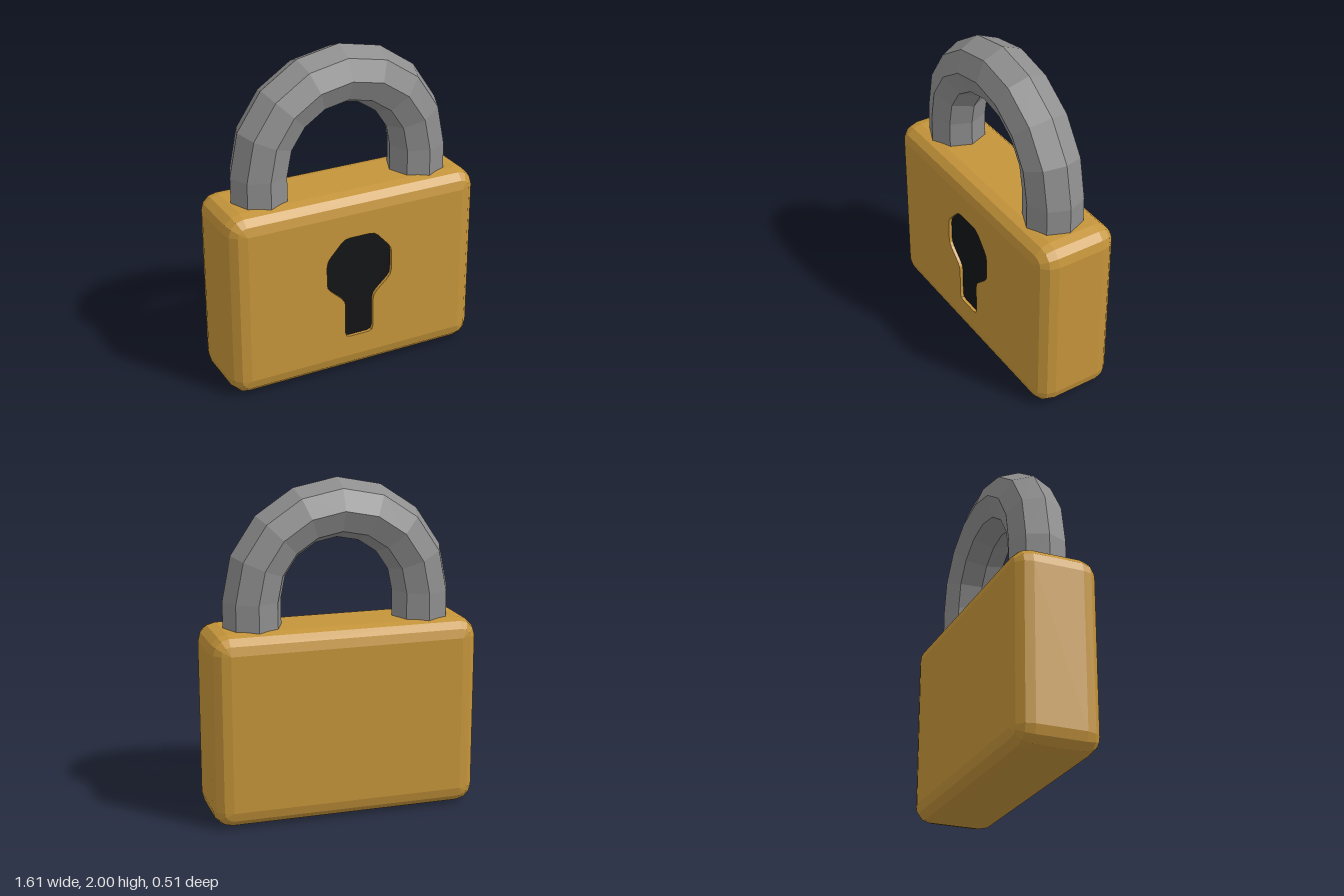
import * as THREE from 'three';

const V = (x, y, z) => new THREE.Vector3(x, y, z);

// Skin between successive closed rings of points (flat facets)
function loft(rings) {
  const pos = [];
  const put = (...pts) => pts.forEach(p => pos.push(p.x, p.y, p.z));
  for (let i = 0; i < rings.length - 1; i++) {
    const n = rings[i].length;
    for (let j = 0; j < n; j++) {
      const k = (j + 1) % n;
      const a = rings[i][j], b = rings[i][k], c = rings[i + 1][k], d = rings[i + 1][j];
      if (a.distanceTo(b) > 1e-6) put(a, b, c);
      if (c.distanceTo(d) > 1e-6) put(a, c, d);
    }
  }
  const g = new THREE.BufferGeometry();
  g.setAttribute('position', new THREE.Float32BufferAttribute(pos, 3));
  g.computeVertexNormals();
  return g;
}

// Replace every corner of a polygon by a small curve
function softenCorners(points, r) {
  const out = [];
  points.forEach((p, i) => {
    const prev = points[(i + points.length - 1) % points.length];
    const next = points[(i + 1) % points.length];
    const a = p.clone().add(prev.clone().sub(p).setLength(r));
    const b = p.clone().add(next.clone().sub(p).setLength(r));
    out.push(...new THREE.QuadraticBezierCurve(a, p, b).getPoints(2));
  });
  return out;
}

export function createModel() {
  const model = new THREE.Group();
  const material = color => new THREE.MeshStandardMaterial({ color, flatShading: true });
  const brass = material(0xc4943a), steel = material(0x8e8e8e), black = material(0x131417);
  const add = (name, geometry, mat, parent = model) => {
    const mesh = new THREE.Mesh(geometry, mat);
    mesh.name = name;
    parent.add(mesh);
    return mesh;
  };

  // Body: rounded block with three-step bevels
  const W = 0.807, H = 0.5775, D = 0.256, R = 0.107, STEPS = 3;
  const corners = [[1, 1], [-1, 1], [-1, -1], [1, -1]];
  const bodyRing = (r, z) => corners.flatMap(([sx, sy], q) =>
    Array.from({ length: STEPS + 1 }, (_, i) => {
      const a = (q + i / STEPS) * Math.PI / 2;
      return V(sx * (W - R) + r * Math.cos(a), H + sy * (H - R) + r * Math.sin(a), z);
    }));
  const rings = [];
  for (const side of [-1, 1]) {
    for (let i = 0; i <= STEPS; i++) {
      const a = (side < 0 ? i : STEPS - i) / STEPS * Math.PI / 2;
      rings.push(bodyRing(R * Math.sin(a), side * (D - R + R * Math.cos(a))));
    }
  }
  const body = new THREE.Group();
  body.name = 'body';
  model.add(body);
  add('bodyShell', loft(rings), brass, body);

  // Keyhole outline: octagon on a stem, counter-clockwise
  const cx = 0.007, cy = 0.687, A = 0.214, B = 0.089, S = 0.093, foot = 0.24;
  const outline = softenCorners([
    [S, foot - cy], [S, -A + 0.015], [A, -B], [A, B], [B + 0.01, A],
    [-B - 0.01, A], [-A, B], [-A, -B], [-S, -A + 0.015], [-S, foot - cy],
  ].map(([x, y]) => new THREE.Vector2(cx + x, cy + y)), 0.032);

  // Flat front and back faces, the front one pierced by the keyhole
  const face = () => new THREE.Shape(
    corners.map(([sx, sy]) => new THREE.Vector2(sx * (W - R), H + sy * (H - R))));
  const front = face();
  front.holes.push(new THREE.Path(outline));
  add('frontFace', new THREE.ShapeGeometry(front), brass, body).position.z = D;
  const back = add('backFace', new THREE.ShapeGeometry(face()), brass, body);
  back.rotation.y = Math.PI;
  back.position.z = -D;

  // Shallow keyhole recess with a black floor
  const depth = 0.02;
  const holeRing = z => outline.map(p => V(p.x, p.y, z));
  add('keyholeRim', loft([holeRing(D), holeRing(D - depth)]), brass, body);
  add('keyhole', new THREE.ShapeGeometry(new THREE.Shape(outline)), black).position.z = D - depth;

  // Shackle: eight-sided bar bent in a half circle with straight legs
  const bend = 0.515, bar = 0.175, bendY = 1.31, legY = 1.1;
  const barRing = (angle, y) => Array.from({ length: 8 }, (_, i) => {
    const b = i * Math.PI / 4, reach = bend + bar * Math.cos(b);
    return V(reach * Math.cos(angle), y + reach * Math.sin(angle), -bar * Math.sin(b));
  });
  const shackle = [barRing(0, legY)];
  for (let i = 0; i <= 8; i++) shackle.push(barRing(i * Math.PI / 8, bendY));
  shackle.push(barRing(Math.PI, legY));
  add('shackle', loft(shackle), steel);

  // Closed leg ends
  for (const side of [-1, 1]) {
    const end = add('shackleEnd', new THREE.CircleGeometry(bar, 8), steel);
    end.rotation.x = Math.PI / 2;
    end.position.set(side * bend, legY, 0);
  }
  return model;
}
